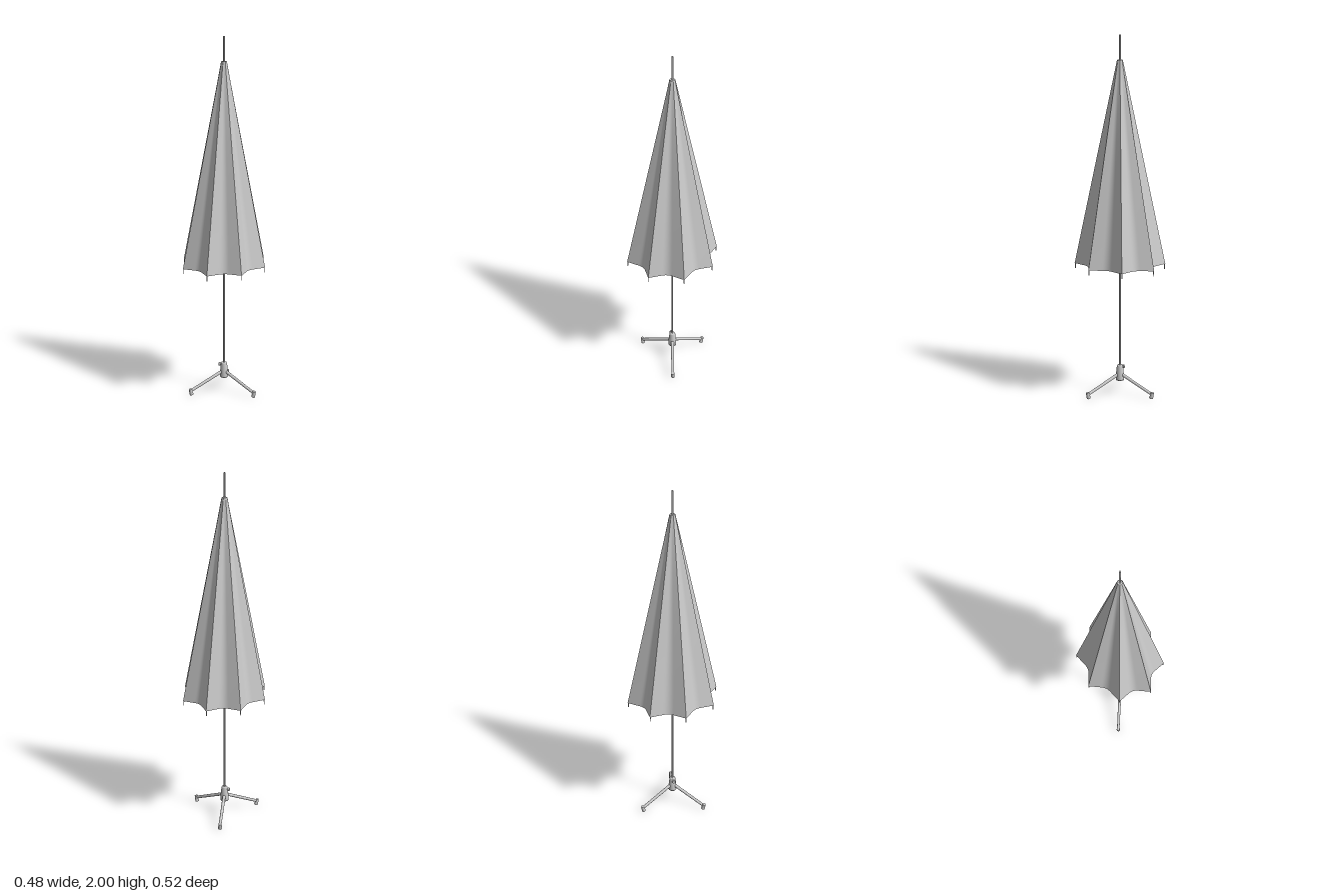
import * as THREE from 'three';

const grey = new THREE.MeshStandardMaterial({ color: 0xcccccc });
const cloth = new THREE.MeshStandardMaterial({ color: 0xcccccc, side: THREE.DoubleSide });
const V = (x, y, z) => new THREE.Vector3(x, y, z);

const TOP = 1.865, HEM = 0.75, RX = 0.24, RZ = 0.261, CAP = 0.016;
const TWIST = -0.015, STEP = Math.PI / 4;

function add(parent, geometry, name, material = grey) {
  const mesh = new THREE.Mesh(geometry, material);
  mesh.name = name;
  parent.add(mesh);
  return mesh;
}

// Round rod between two points
function rod(parent, a, b, ra, rb, name, sides = 8) {
  const d = b.clone().sub(a);
  const mesh = add(parent, new THREE.CylinderGeometry(rb, ra, d.length(), sides), name);
  mesh.position.copy(a).addScaledVector(d, 0.5);
  mesh.quaternion.setFromUnitVectors(V(0, 1, 0), d.normalize());
  return mesh;
}

// Hem outline of one panel in unit space: straight sides with a rounded inward fold
function panelOutline(angle) {
  const polar = (a, r) => new THREE.Vector2(Math.cos(a) * r, Math.sin(a) * r);
  const a = polar(angle, 1), b = polar(angle + STEP, 1);
  const fold = polar(angle + STEP / 2, 0.765);
  const p = fold.clone().lerp(a, 0.28), q = fold.clone().lerp(b, 0.28);
  const curve = new THREE.QuadraticBezierCurve(p, fold, q).getPoints(10);
  return [a, a.clone().lerp(p, 0.9), ...curve, b.clone().lerp(q, 0.9), b];
}

// One panel, running from the round cap down to the folded hem
function panelGeometry(angle) {
  const outline = panelOutline(angle).reverse();
  const cols = outline.length, rows = 9;
  const geometry = new THREE.PlaneGeometry(1, 1, cols - 1, rows - 1);
  const pos = geometry.attributes.position;
  for (let r = 0; r < rows; r++) {
    const t = r / (rows - 1);
    for (let c = 0; c < cols; c++) {
      const p = outline[c], n = p.clone().normalize();
      pos.setXYZ(r * cols + c,
        THREE.MathUtils.lerp(n.x * CAP, p.x * RX, t),
        THREE.MathUtils.lerp(TOP, HEM, t),
        THREE.MathUtils.lerp(n.y * CAP, p.y * RZ, t));
    }
  }
  geometry.computeVertexNormals();
  return geometry;
}

export function createModel() {
  const model = new THREE.Group();
  model.name = 'closedParasol';

  // Pole with its cap and the sliding runner
  rod(model, V(0, 0.09, 0), V(0, 2, 0), 0.005, 0.005, 'pole', 12);
  rod(model, V(0, TOP - 0.02, 0), V(0, TOP + 0.003, 0), CAP, CAP - 0.002, 'topCap', 20);
  rod(model, V(0, 1.02, 0), V(0, 1.07, 0), 0.012, 0.012, 'runner', 16);

  // Canopy panels, each with a rib, a strut and a rib tip at its ridge
  const canopy = new THREE.Group();
  canopy.name = 'canopy';
  model.add(canopy);
  for (let i = 0; i < 8; i++) {
    const angle = TWIST + i * STEP, c = Math.cos(angle), s = Math.sin(angle);
    add(canopy, panelGeometry(angle), 'panel', cloth);
    const head = V(c * 0.01, TOP - 0.01, s * 0.01);
    const end = V(c * (RX - 0.005), HEM + 0.002, s * (RZ - 0.005));
    rod(canopy, head, end, 0.002, 0.002, 'rib', 6);
    rod(canopy, V(c * 0.01, 1.05, s * 0.01), head.clone().lerp(end, 0.5), 0.002, 0.002, 'strut', 6);
    rod(canopy, end, V(c * (RX - 0.004), 0.722, s * (RZ - 0.004)), 0.0025, 0.002, 'ribTip', 6);
  }

  // Tapered hub with a clamping knob
  const base = new THREE.Group();
  base.name = 'base';
  model.add(base);
  const profile = [[0, 0.078], [0.022, 0.078], [0.023, 0.083], [0.022, 0.115],
    [0.017, 0.16], [0.014, 0.165], [0, 0.165]].map(([x, y]) => new THREE.Vector2(x, y));
  add(base, new THREE.LatheGeometry(profile, 24), 'hub');
  rod(base, V(-0.01, 0.15, 0), V(-0.024, 0.15, 0), 0.005, 0.005, 'knobStem', 10);
  rod(base, V(-0.022, 0.15, 0), V(-0.031, 0.15, 0), 0.01, 0.01, 'knob', 14);

  // Three splayed legs with feet
  for (let i = 0; i < 3; i++) {
    const angle = 0.245 + i * Math.PI * 2 / 3, c = Math.cos(angle), s = Math.sin(angle);
    rod(base, V(c * 0.012, 0.112, s * 0.012), V(c * 0.205, 0.026, s * 0.205), 0.009, 0.008, 'leg', 12);
    rod(base, V(c * 0.2, 0.003, s * 0.2), V(c * 0.208, 0.037, s * 0.208), 0.011, 0.009, 'foot', 12);
  }
  return model;
}
